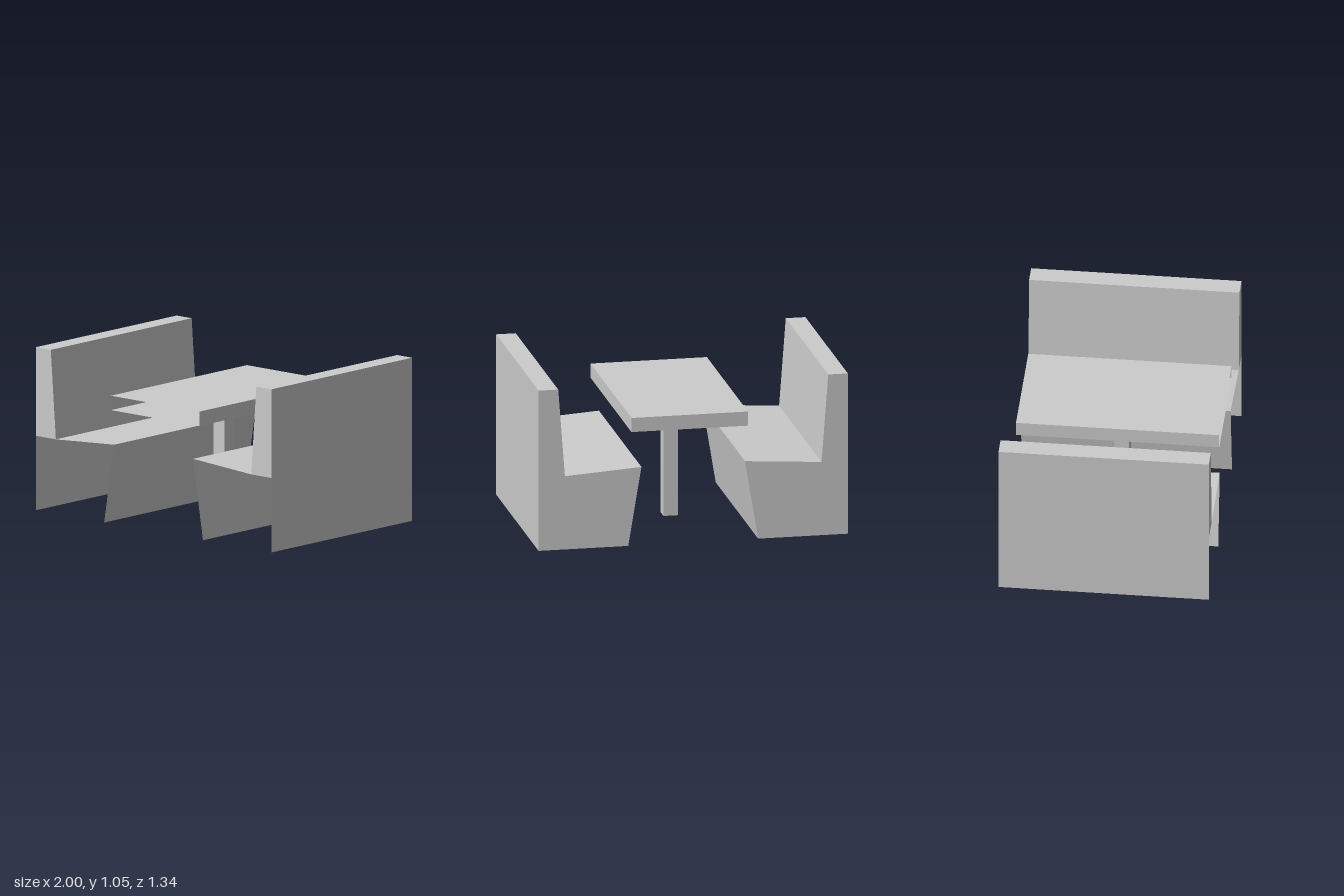
import * as THREE from 'three';

const BACK = -0.67, FRONT = 0.67;
const material = new THREE.MeshStandardMaterial({
  color: 0xcccccc, flatShading: true, side: THREE.DoubleSide,
});

function mesh(name, geometry) {
  const m = new THREE.Mesh(geometry, material);
  m.name = name;
  return m;
}

// Panels along a clockwise profile (seen from +z), swept from z0 to z1
function walls(name, profile, z0, z1) {
  const pos = [];
  for (let i = 0; i < profile.length - 1; i++) {
    const [p, q] = [profile[i], profile[i + 1]];
    pos.push(...p, z1, ...q, z1, ...q, z0, ...p, z1, ...q, z0, ...p, z0);
  }
  const g = new THREE.BufferGeometry();
  g.setAttribute('position', new THREE.Float32BufferAttribute(pos, 3));
  g.computeVertexNormals();
  return mesh(name, g);
}

// Flat end panel facing +z, or -z when facingBack is set
function endPanel(name, points, z, facingBack) {
  const s = facingBack ? -1 : 1;
  const g = new THREE.ShapeGeometry(
    new THREE.Shape(points.map(([x, y]) => new THREE.Vector2(s * x, y))));
  if (facingBack) g.rotateY(Math.PI);
  return mesh(name, g.translate(0, 0, z));
}

// Bench shell: open below and at the front of the base, closed at the back
function bench(name, side) {
  const place = (pts) => {
    const out = pts.map(([x, y]) => [side * x, y]);
    return side < 0 ? out.reverse() : out;
  };
  const profile = place([
    [0.42, 0], [0.335, 0.515], [0.83, 0.482], [0.873, 1.055], [1, 1.055], [1, 0],
  ]);
  const backrest = place([[0.83, 0.482], [0.873, 1.055], [1, 1.055], [1, 0.482]]);
  const group = new THREE.Group();
  group.name = name;
  group.add(
    walls('benchShell', profile, BACK, FRONT),
    endPanel('benchBackEnd', profile, BACK, true),
    endPanel('backrestFrontEnd', backrest, FRONT, false),
  );
  return group;
}

// Table top with an open front end, on a hollow square post
function table() {
  const profile = [
    [-0.363, 0.735], [-0.363, 0.828], [0.39, 0.828], [0.39, 0.735], [-0.363, 0.735],
  ];
  const post = new THREE.CylinderGeometry(0.067, 0.067, 0.735, 4, 1, true);
  post.rotateY(Math.PI / 4).translate(0.014, 0.3675, 0.015);
  const group = new THREE.Group();
  group.name = 'table';
  group.add(
    walls('tableTop', profile, -0.625, FRONT),
    endPanel('tableBackEnd', profile.slice(0, 4), -0.625, true),
    mesh('tablePost', post),
  );
  return group;
}

export function createModel() {
  const model = new THREE.Group();
  model.name = 'boothWithTable';
  model.add(bench('leftBench', 1), bench('rightBench', -1), table());
  return model;
}
